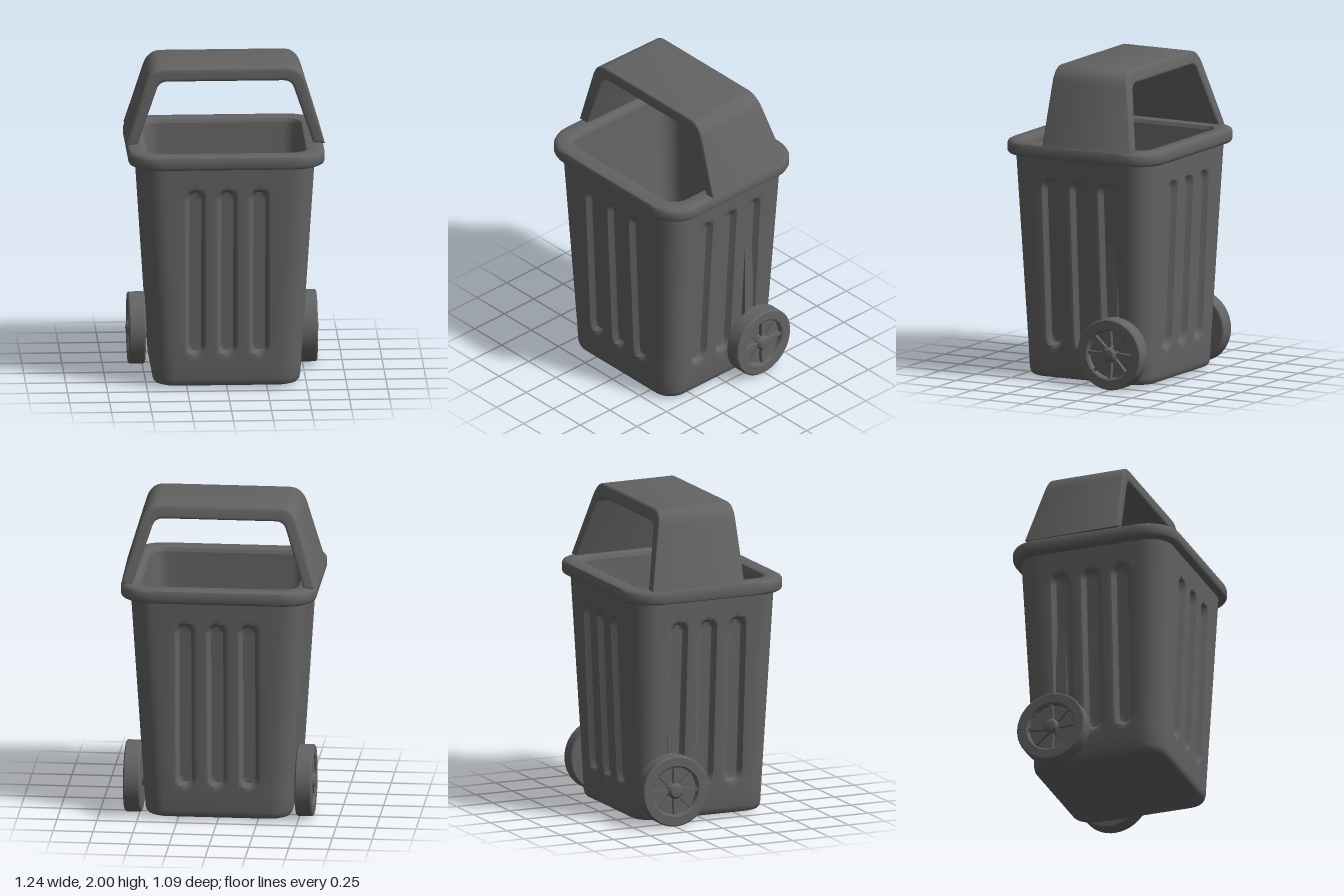
import * as THREE from 'three';
import { toCreasedNormals } from 'three/addons/utils/BufferGeometryUtils.js';

const plastic = new THREE.MeshStandardMaterial({ color: 0x636363 });
plastic.name = 'dark grey plastic';

function add(parent, geometry, name, x = 0, y = 0, z = 0) {
  const mesh = new THREE.Mesh(geometry, plastic);
  mesh.name = name;
  mesh.position.set(x, y, z);
  parent.add(mesh);
  return mesh;
}

// Depth of the three upright flutes at distance u along a side and height y
function fluteDepth(u, y) {
  let depth = 0;
  for (const c of [-0.2, 0, 0.2]) {
    const dy = y - THREE.MathUtils.clamp(y, 0.28, 1.23);
    const d = Math.hypot(u - c, dy);
    depth = Math.max(depth, 0.035 * (1 - THREE.MathUtils.smoothstep(d, 0.035, 0.068)));
  }
  return depth;
}

// Rounded rectangle ring: height, half width, half depth, corner radius
function ring([y, hx, hz, r], fluted) {
  const points = [];
  for (let k = 0; k < 4; k++) {
    const n = k % 2 ? hz : hx;
    const s = (k % 2 ? hx : hz) - r;
    const local = [];
    for (let i = -22; i <= 22; i++) {
      const u = THREE.MathUtils.clamp(i * 0.0125, -s, s);
      local.push([n - (fluted ? fluteDepth(u, y) : 0), u]);
    }
    for (let i = 0; i <= 8; i++) {
      const a = (i / 8) * Math.PI / 2;
      local.push([n - r + r * Math.cos(a), s + r * Math.sin(a)]);
    }
    for (const [p, q] of local) {
      points.push([[p, y, q], [-q, y, p], [-p, y, -q], [q, y, -p]][k]);
    }
  }
  return points;
}

// Skin a stack of rings
function loft(sections, fluted = false) {
  const rings = sections.map((s) => ring(s, fluted));
  const m = rings[0].length;
  const index = [];
  for (let i = 0; i < rings.length - 1; i++) {
    for (let j = 0; j < m; j++) {
      const a = i * m + j, c = i * m + (j + 1) % m;
      index.push(a, a + m, c, a + m, c + m, c);
    }
  }
  const g = new THREE.BufferGeometry();
  g.setAttribute('position', new THREE.Float32BufferAttribute(rings.flat(2), 3));
  g.setIndex(index);
  return toCreasedNormals(g, 0.7);
}

// Arched hood, open at the front and back, with a sloping back edge
function hoodGeometry() {
  const s = new THREE.Shape();
  s.moveTo(0.622, 1.515);
  s.lineTo(0.505, 1.90);
  s.quadraticCurveTo(0.475, 2.0, 0.39, 2.0);
  s.lineTo(-0.39, 2.0);
  s.quadraticCurveTo(-0.475, 2.0, -0.505, 1.90);
  s.lineTo(-0.622, 1.515);
  s.lineTo(-0.55, 1.515);
  s.lineTo(-0.43, 1.87);
  s.quadraticCurveTo(-0.415, 1.92, -0.36, 1.92);
  s.lineTo(0.36, 1.92);
  s.quadraticCurveTo(0.415, 1.92, 0.43, 1.87);
  s.lineTo(0.55, 1.515);
  s.closePath();
  const bevel = 0.02;
  const g = new THREE.ExtrudeGeometry(s, {
    depth: 1 - 2 * bevel, curveSegments: 8, bevelEnabled: true,
    bevelSize: bevel, bevelOffset: -bevel, bevelThickness: bevel, bevelSegments: 4,
  });
  const p = g.attributes.position;
  for (let i = 0; i < p.count; i++) {
    const t = 1 - bevel - p.getZ(i);
    const rise = p.getY(i) - 1.515;
    const front = 0.215 - 0.02 * rise;
    const back = -0.415 + 0.24 * rise;
    p.setX(i, p.getX(i) * (1 - 0.025 * t));
    p.setZ(i, front + (back - front) * t);
  }
  return toCreasedNormals(g, 0.7);
}

function wheel() {
  const group = new THREE.Group();
  // Tyre, recessed disc and domed hub in one profile
  const profile = [
    [0, 0], [0.217, 0], [0.225, 0.008], [0.225, 0.097], [0.217, 0.105],
    [0.162, 0.105], [0.153, 0.098], [0.15, 0.07], [0.055, 0.07],
    [0.048, 0.1], [0.035, 0.114], [0, 0.12],
  ].map(([r, h]) => new THREE.Vector2(r, h));
  add(group, toCreasedNormals(new THREE.LatheGeometry(profile, 48), 0.6), 'tyreAndHub');
  // Eight spokes widening toward the hub
  for (let i = 0; i < 8; i++) {
    const g = new THREE.BoxGeometry(0.12, 0.03, 0.03);
    const p = g.attributes.position;
    for (let k = 0; k < p.count; k++) {
      if (p.getX(k) > 0) p.setZ(k, p.getZ(k) * 0.6);
    }
    g.translate(0.095, 0.08, 0);
    g.rotateY((i * Math.PI) / 4);
    add(group, g, 'spoke');
  }
  return group;
}

export function createModel() {
  const model = new THREE.Group();
  model.name = 'wheeledBin';

  // Tapered outer body with a rounded bottom edge
  const body = [[0.015, 0, 0, 0], [0.015, 0.425, 0.41, 0.11], [0.022, 0.444, 0.426, 0.12],
    [0.036, 0.456, 0.436, 0.13], [0.06, 0.462, 0.44, 0.13]];
  for (let i = 0; i <= 60; i++) {
    const t = i / 60;
    body.push([0.16 + 1.28 * t, 0.469 + 0.081 * t, 0.444 + 0.054 * t, 0.135 + 0.015 * t]);
  }
  add(model, loft(body, true), 'body');

  // Thick rolled rim
  add(model, loft([
    [1.43, 0.53, 0.48, 0.14], [1.43, 0.597, 0.53, 0.19], [1.436, 0.608, 0.54, 0.2],
    [1.45, 0.613, 0.546, 0.2], [1.495, 0.613, 0.546, 0.2], [1.511, 0.607, 0.54, 0.2],
    [1.52, 0.59, 0.523, 0.185], [1.52, 0.52, 0.458, 0.13], [1.512, 0.5, 0.44, 0.11],
    [1.49, 0.49, 0.43, 0.1],
  ]), 'rim');

  // Inner walls and floor
  add(model, loft([
    [1.49, 0.49, 0.43, 0.1], [0.12, 0.405, 0.378, 0.09], [0.08, 0.395, 0.368, 0.08],
    [0.06, 0.37, 0.345, 0.07], [0.06, 0, 0, 0],
  ]), 'interior');

  add(model, hoodGeometry(), 'hood');

  // Wheels, axle stubs and upright axle brackets
  for (const side of [1, -1]) {
    const w = wheel();
    w.name = side > 0 ? 'leftWheel' : 'rightWheel';
    w.rotation.z = -side * Math.PI / 2;
    w.position.set(side * 0.485, 0.225, -0.245);
    model.add(w);
    const stub = add(model, new THREE.CylinderGeometry(0.06, 0.06, 0.06, 24), 'axleStub',
      side * 0.465, 0.225, -0.245);
    stub.rotation.z = Math.PI / 2;
    add(model, new THREE.BoxGeometry(0.03, 0.7, 0.07), 'axleBracket', side * 0.466, 0.55, -0.215);
  }
  return model;
}
